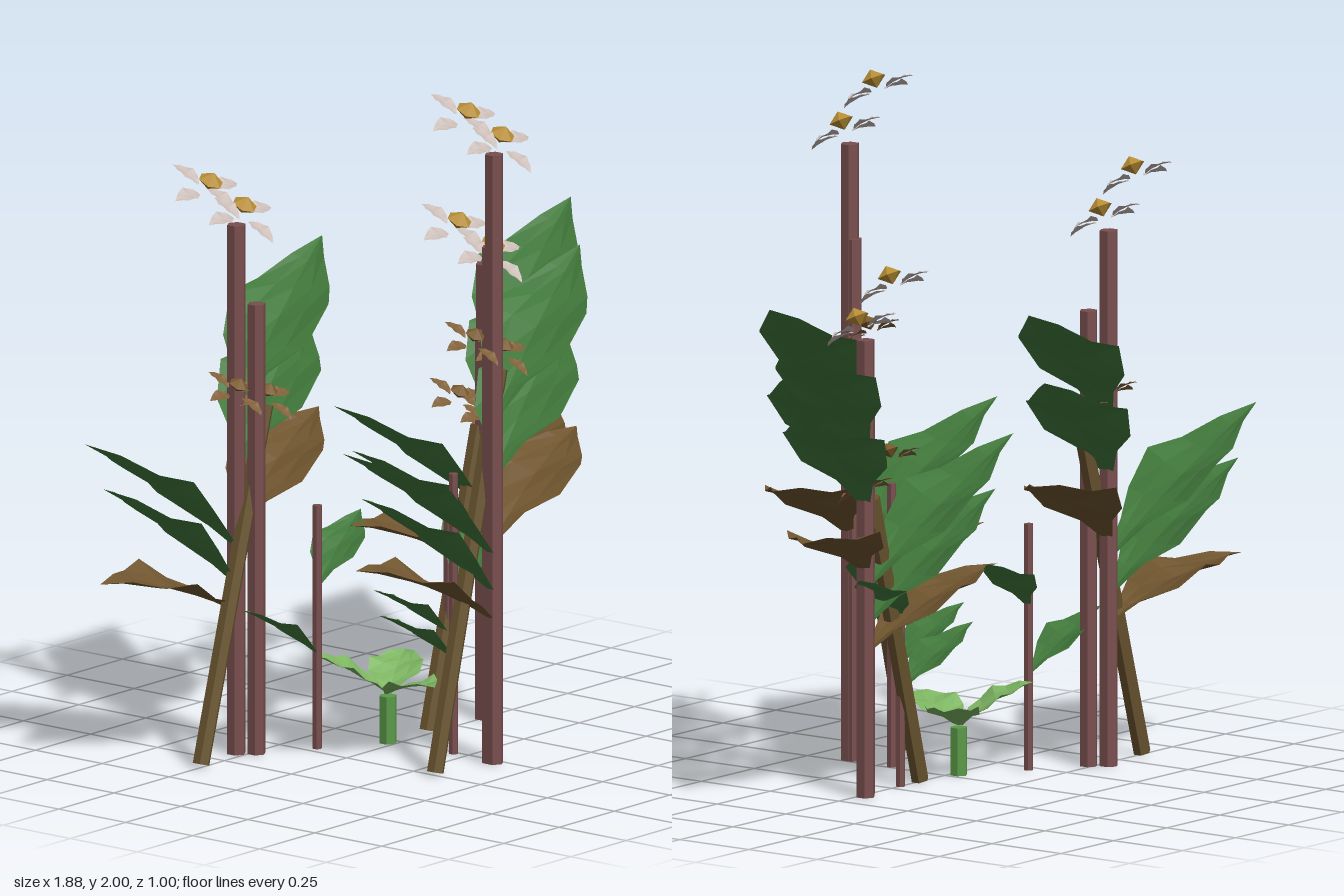
import * as THREE from 'three';

const mat = (color) => new THREE.MeshStandardMaterial({ color, flatShading: true, side: THREE.DoubleSide });
const M = {
  stem: mat(0x7a4e4e), dryStem: mat(0x69542f), leaf: mat(0x427a3c), dryLeaf: mat(0x70552f),
  sprout: mat(0x7db562), sproutStem: mat(0x5a9a48), petal: mat(0xcabcb6), dryPetal: mat(0x80603a),
  gold: mat(0xb98f35), dryGold: mat(0x7a5a2c),
};

function add(parent, name, geometry, material, x = 0, y = 0, z = 0) {
  const mesh = new THREE.Mesh(geometry, material);
  mesh.name = name;
  mesh.position.set(x, y, z);
  parent.add(mesh);
  return mesh;
}

// Straight six-sided stem between two points
function stem(parent, name, a, b, radius, material) {
  const from = new THREE.Vector3(...a), dir = new THREE.Vector3(...b).sub(from);
  const geo = new THREE.CylinderGeometry(radius, radius, dir.length(), 6);
  geo.translate(0, dir.length() / 2, 0);
  const mesh = add(parent, name, geo, material, ...a);
  mesh.quaternion.setFromUnitVectors(new THREE.Vector3(0, 1, 0), dir.normalize());
}

// Blade running from base by (dx, rise, dz), folded along its midrib with slightly
// rippled facets; roll lowers the edge that faces the front
const BROAD = [0.08, 0.38, 0.88, 1.04, 0.76, 0.34, 0];
const OVAL = [0.15, 0.6, 0.95, 1, 0.8, 0.45, 0];
function blade(parent, name, base, [dx, rise, dz], half, arch, material, profile = BROAD, roll = 0) {
  const rows = profile.length - 1;
  const geo = new THREE.PlaneGeometry(2, 1, 4, rows);
  const p = geo.attributes.position;
  const len = Math.hypot(dx, dz);
  for (let i = 0; i < p.count; i++) {
    const t = p.getY(i) + 0.5, s = p.getX(i), row = Math.round(t * rows);
    const w = profile[row] * half * s;
    const along = t * len, side = (dx * w) / len;
    const ripple = (row % 2 ? 0.1 : -0.1) * Math.abs(w);
    const y = rise * t + arch * 4 * t * (1 - t) + 0.12 * Math.abs(w) * (1 + Math.abs(s)) + ripple - roll * side;
    p.setXYZ(i, (dx * along - dz * w) / len, y, (dz * along) / len + side);
  }
  geo.computeVertexNormals();
  add(parent, name, geo, material, ...base);
}

// Four-petalled flower tipped toward the front
function flower(parent, name, pos, size, petalMat, heartMat) {
  const g = new THREE.Group();
  g.name = name;
  for (const [x, z] of [[1, 0], [-1, 0], [0, 1], [0, -1]]) {
    blade(g, 'petal', [x * 0.035, 0, z * 0.035], [x * 0.105, -0.004, z * 0.105], 0.027, 0.007, petalMat, OVAL);
  }
  const heart = add(g, 'flowerHeart', new THREE.SphereGeometry(0.038, 6, 2), heartMat, 0, 0.037, 0);
  heart.scale.y = 0.75;
  heart.rotation.y = Math.PI / 6;
  g.position.set(...pos);
  g.rotation.x = 0.46;
  g.scale.setScalar(size);
  parent.add(g);
}

// Full-grown plants: position, height, side stem, dry stem (x0, x1, top, z), dry leaf tips and faded flowers
const PLANTS = [
  { x: -0.41, z: -0.28, h: 1.57, side: [0.037, 1.335, 0.045], dry: [-0.6, -0.31, 1.02, -0.255],
    dryTips: [[0.525, 0.91], [-0.465, 0.57]], faded: [[-0.31, 1.04], [-0.445, 1.08]] },
  { x: -0.025, z: 0.365, h: 1.807, side: [0, 1.53, -0.012], dry: [-0.245, 0.045, 1.15, 0.327],
    dryTips: [[0.525, 0.88], [-0.475, 0.64]], faded: [[0.052, 1.195], [-0.08, 1.25]] },
  { x: 0.4, z: -0.02, h: 1.34, side: [-0.035, 1.15, 0.025], dry: [0.13, 0.36, 0.87, -0.01],
    dryTips: [[0.465, 0.825], [-0.46, 0.63]], faded: [[0.39, 0.895], [0.26, 0.965]] },
];

function maturePlant({ x, z, h, side, dry, dryTips, faded }) {
  const g = new THREE.Group();
  g.name = 'maturePlant';
  stem(g, 'mainStem', [x, 0, z], [x, h, z], 0.028, M.stem);
  stem(g, 'sideStem', [x + side[0], 0, z + side[2]], [x + side[0], side[1], z + side[2]], 0.027, M.stem);
  // green leaves: two on each side, the right-hand pair lower
  const leaves = [[0.54, 1.02, 1.415], [0.465, 0.85, 1.205], [-0.535, 0.61, 1.0], [-0.45, 0.5, 0.85]];
  for (const [dx, y0, y1] of leaves) {
    blade(g, 'leaf', [x, y0, z], [dx, y1 - y0, -0.125], 0.153, 0.018, M.leaf);
  }
  // withered leaves
  for (const [dx, y1] of dryTips) {
    const y0 = dx > 0 ? 0.66 : 0.42;
    blade(g, 'dryLeaf', [x, y0, z], [dx, y1 - y0, -0.125], 0.14, 0.03, M.dryLeaf, BROAD, 0.06);
  }
  flower(g, 'lowerFlower', [x, h + 0.03, z + 0.015], 1, M.petal, M.gold);
  flower(g, 'upperFlower', [x - 0.153, h + 0.13, z + 0.015], 1, M.petal, M.gold);
  // leaning withered stem with two faded flowers
  const [x0, x1, top, dz] = dry;
  stem(g, 'dryStem', [x0, 0.008, dz], [x1, top, dz], 0.026, M.dryStem);
  for (const [fx, fy] of faded) flower(g, 'fadedFlower', [fx, fy, dz], 0.8, M.dryPetal, M.dryGold);
  return g;
}

// Half-grown plant with a thin stem and one pair of leaves
function youngPlant({ x, z, h }) {
  const g = new THREE.Group();
  g.name = 'youngPlant';
  const px = x * 0.525, pz = z * 0.53 + 0.01;
  stem(g, 'thinStem', [px, 0, pz], [px, h * 0.46, pz], 0.014, M.stem);
  blade(g, 'youngLeaf', [px, 0.48, pz], [0.27, 0.17, -0.06], 0.08, 0.01, M.leaf);
  blade(g, 'youngLeaf', [px, 0.28, pz], [-0.265, 0.17, -0.06], 0.08, 0.01, M.leaf);
  return g;
}

function seedling() {
  const g = new THREE.Group();
  g.name = 'seedling';
  const x = -0.033, z = -0.025;
  stem(g, 'seedlingStem', [x, 0, z], [x, 0.14, z], 0.026, M.sproutStem);
  for (const [dx, rise, dz] of [[-0.06, 0.065, 0.225], [-0.16, 0.12, -0.15], [0.2, 0.08, -0.1]]) {
    blade(g, 'seedlingLeaf', [x, 0.145, z], [dx, rise, dz], 0.08, 0.012, M.sprout, OVAL);
  }
  return g;
}

export function createModel() {
  const model = new THREE.Group();
  model.name = 'floweringPlants';
  for (const plant of PLANTS) model.add(maturePlant(plant), youngPlant(plant));
  model.add(seedling());
  return model;
}
